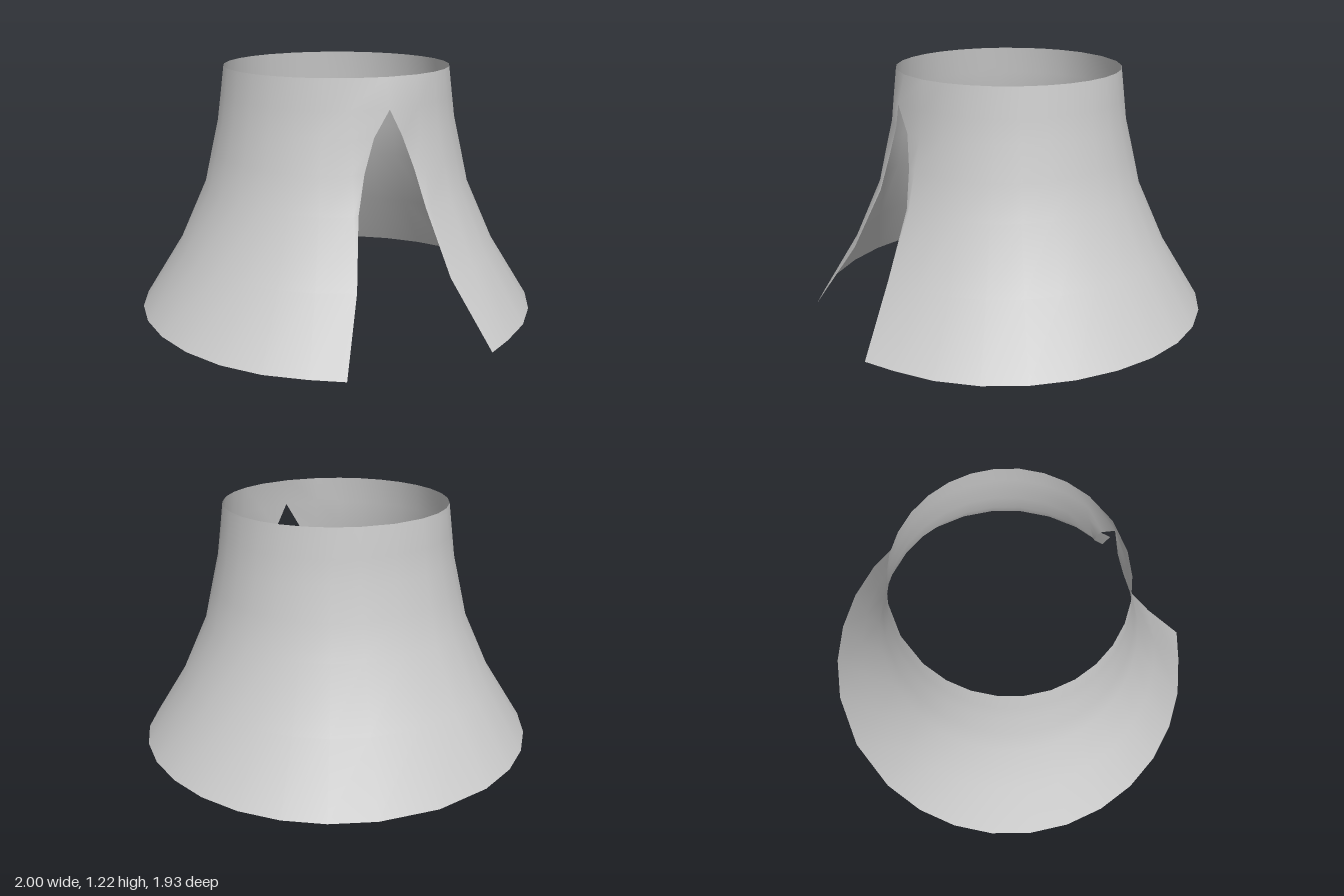
import * as THREE from 'three';
import { mergeVertices } from 'three/addons/utils/BufferGeometryUtils.js';

// Rings from hem to neck: height, x radius, z radius
const RINGS = [
  [0, 1, 0.99], [0.315, 0.805, 0.8], [0.62, 0.67, 0.665], [0.8, 0.63, 0.623],
  [0.955, 0.595, 0.585], [1.08, 0.578, 0.572], [1.22, 0.56, 0.556],
];
// Edge of the front opening at each ring: half width, z (the neck ring is closed)
const SLIT = [
  [0.36, 0.96], [0.235, 0.785], [0.17, 0.655], [0.125, 0.618],
  [0.07, 0.598], [0, 0.61], [0, 0.576],
];
// Column angles in degrees, from the back round to one side of the opening
const QUARTER = [0, 17, 30, 42, 54, 66, 78, 90];
const ANGLES = [...QUARTER, ...QUARTER.slice(0, 7).reverse().map((a) => 180 - a)];
const LAST = ANGLES.length - 1;
const CENTRE_Z = 0.02;

// Point on ring r, column c; negative columns mirror to -x
function pointAt(r, c) {
  const [y, rx, rz] = RINGS[r];
  const k = Math.abs(c), side = Math.sign(c);
  const a = THREE.MathUtils.degToRad(ANGLES[k]);
  // the hem rises slightly at the two sides
  const lift = 0.015 * Math.sin(a) ** 6 * (1 - y / 1.22);
  const atEdge = k === LAST || (k === LAST - 1 && r < 2);
  if (atEdge) return [side * SLIT[r][0], y, SLIT[r][1]];
  return [side * rx * Math.sin(a), y + lift, CENTRE_Z - rz * Math.cos(a)];
}

function skirtGeometry() {
  const positions = [], index = [];
  const width = 2 * LAST + 1;
  for (let r = 0; r < RINGS.length; r++) {
    for (let c = -LAST; c <= LAST; c++) positions.push(...pointAt(r, c));
  }
  for (let r = 0; r < RINGS.length - 1; r++) {
    for (let c = 0; c < width - 1; c++) {
      const a = r * width + c, b = a + 1, d = a + width, e = d + 1;
      index.push(a, d, b, b, d, e);
    }
  }
  const raw = new THREE.BufferGeometry();
  raw.setAttribute('position', new THREE.Float32BufferAttribute(positions, 3));
  raw.setIndex(index);

  // weld the closed front seam above the opening and drop collapsed triangles
  const geometry = mergeVertices(raw, 1e-4);
  const welded = Array.from(geometry.index.array), kept = [];
  for (let i = 0; i < welded.length; i += 3) {
    const [a, b, c] = welded.slice(i, i + 3);
    if (a !== b && b !== c && c !== a) kept.push(a, b, c);
  }
  geometry.setIndex(kept);
  geometry.computeVertexNormals();
  return geometry;
}

export function createModel() {
  const group = new THREE.Group();
  group.name = 'flaredSkirt';
  const material = new THREE.MeshStandardMaterial({ color: 0xcccccc, side: THREE.DoubleSide });
  const skirt = new THREE.Mesh(skirtGeometry(), material);
  skirt.name = 'skirtWithFrontOpening';
  group.add(skirt);
  return group;
}
